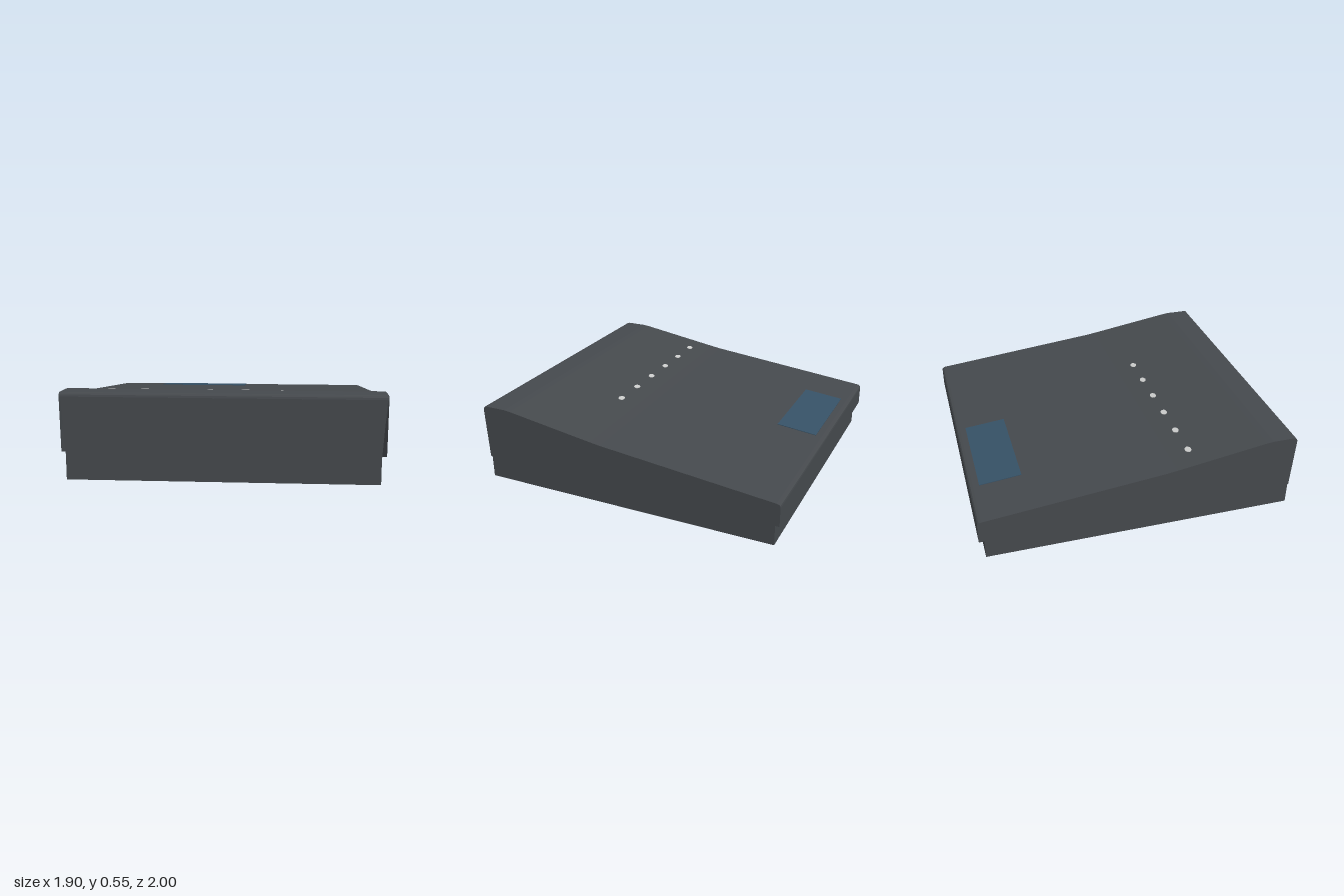
import * as THREE from 'three';

const mat = (name, color) => Object.assign(new THREE.MeshStandardMaterial({ color }), { name });

// Extrudes a side profile of [z, y] points along x, from x0 to x1
function sideExtrude(points, x0, x1) {
  const shape = new THREE.Shape(points.map(([z, y]) => new THREE.Vector2(-z, y)));
  const geo = new THREE.ExtrudeGeometry(shape, { depth: x1 - x0, bevelEnabled: false });
  return geo.rotateY(Math.PI / 2).translate(x0, 0, 0);
}

// Top outline of the case, from the front lip to the back edge
const TOP = [
  [1, 0.525], [0.997, 0.538], [0.989, 0.547], [0.975, 0.55], [0.84, 0.55], [0.8, 0.546],
  [0.22, 0.455], [0.15, 0.445], [-0.975, 0.326], [-0.99, 0.322], [-0.998, 0.314], [-1, 0.302],
];

// Surface height and slope of the top at a given z
function topAt(z) {
  const i = TOP.findIndex(([pz]) => pz <= z);
  const [z0, y0] = TOP[i - 1], [z1, y1] = TOP[i];
  const slope = (y1 - y0) / (z1 - z0);
  return { y: y0 + slope * (z - z0), tilt: -Math.atan(slope) };
}

export function createModel() {
  const group = new THREE.Group();
  const casing = mat('charcoal casing', 0x45494d);
  const blue = mat('blue display', 0x365166);
  const pale = mat('pale indicator', 0xcbcccb);
  const rubber = mat('dark rubber', 0x36383a);

  const add = (name, geo, material) => {
    const mesh = new THREE.Mesh(geo, material);
    mesh.name = name;
    group.add(mesh);
    return mesh;
  };

  // Main body with the recessed base and the overhang at the back
  add('body', sideExtrude([
    ...TOP, [-1, 0.18], [-0.965, 0.18], [-0.965, 0.03], [1, 0.03],
  ], -0.92, 0.92), casing);

  // Overhanging side covers; their inner front corner is pulled in to leave a gap
  for (const side of [-1, 1]) {
    const geo = sideExtrude([...TOP, [-1, 0.18], [-0.75, 0.18], [0.986, 0.195]],
      side > 0 ? 0.92 : -0.95, side > 0 ? 0.95 : -0.92);
    const p = geo.attributes.position;
    for (let i = 0; i < p.count; i++) {
      if (Math.abs(p.getX(i)) < 0.93 && p.getZ(i) > 0.9 && p.getY(i) < 0.3) {
        p.setY(i, 0.18);
        p.setZ(i, 0.93);
      }
    }
    geo.computeVertexNormals();
    add(side > 0 ? 'leftCover' : 'rightCover', geo, casing);
  }

  // Front panel, widening towards the top lip
  const panel = new THREE.Shape([
    [-0.92, 0.18], [0.92, 0.18], [0.942, 0.526], [-0.942, 0.526],
  ].map(([x, y]) => new THREE.Vector2(x, y)));
  add('frontPanel', new THREE.ExtrudeGeometry(panel, { depth: 0.04, bevelEnabled: false })
    .translate(0, 0, 0.96), casing);

  // Display plate near the back
  const d = topAt(-0.805);
  const display = add('display', new THREE.BoxGeometry(0.65, 0.006, 0.265), blue);
  display.position.set(-0.285, d.y + 0.001, -0.805);
  display.rotation.x = d.tilt;

  // Row of indicator dots
  const l = topAt(0.345);
  for (let i = 0; i < 6; i++) {
    const dot = add('indicator', new THREE.CylinderGeometry(0.027, 0.027, 0.006, 12), pale);
    dot.scale.z = 0.75;
    dot.position.set(-0.787 + i * 0.222, l.y + 0.001, 0.345);
    dot.rotation.x = l.tilt;
  }

  // Tapered feet
  for (const x of [-0.84, 0.84]) {
    for (const z of [-0.855, 0.86]) {
      add('foot', new THREE.CylinderGeometry(0.05, 0.03, 0.032, 16), rubber)
        .position.set(x, 0.016, z);
    }
  }
  return group;
}
